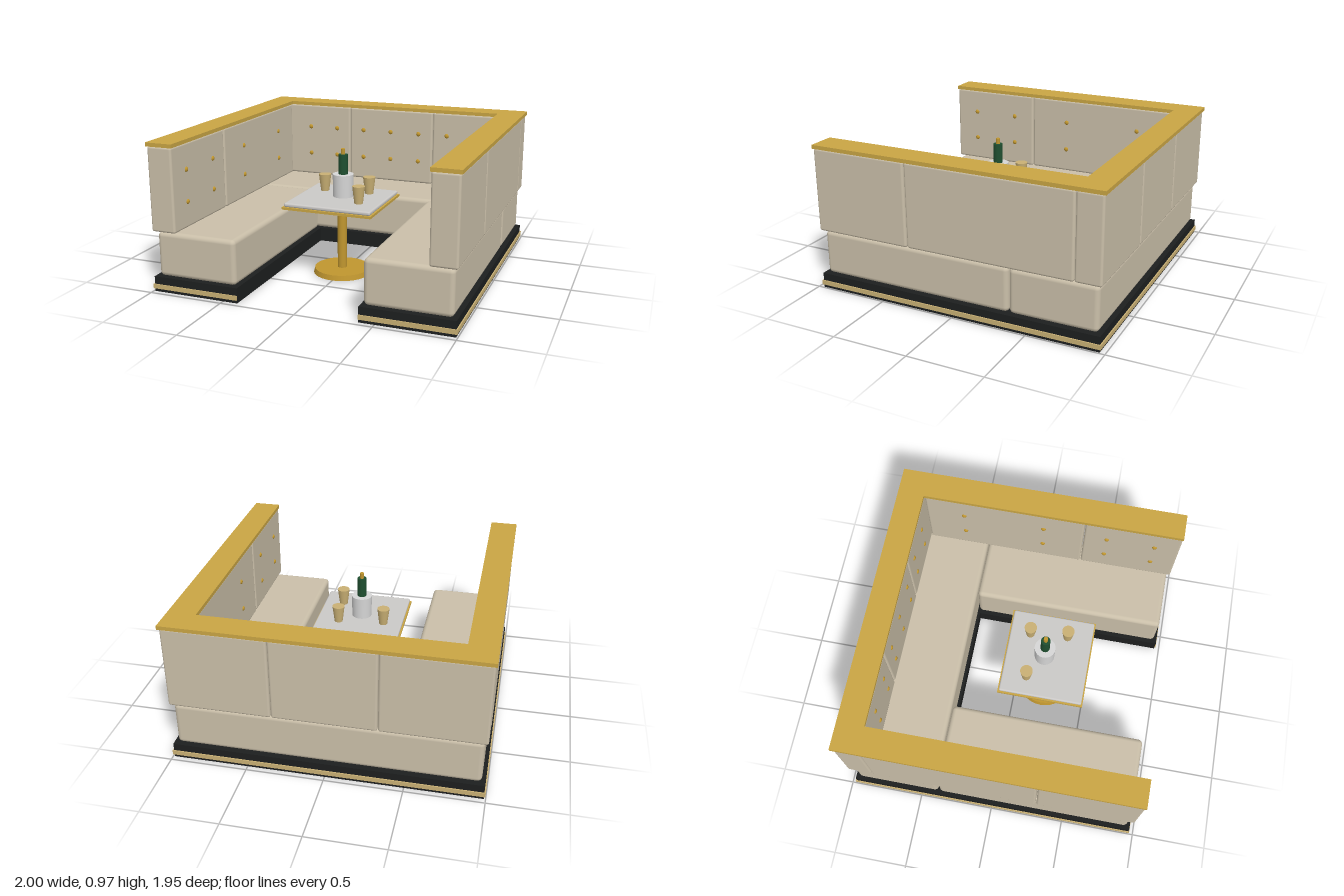
import * as THREE from 'three';
import { RoundedBoxGeometry } from 'three/addons/geometries/RoundedBoxGeometry.js';

const mat = (name, color) => {
  const m = new THREE.MeshStandardMaterial({ color });
  m.name = name;
  return m;
};

export function createModel() {
  const root = new THREE.Group();
  root.name = 'boothWithTable';
  const cream = mat('cream upholstery', 0xcabfa9);
  const black = mat('black plinth', 0x1d1f1f);
  const brass = mat('brass rail', 0xc9a544);
  const gold = mat('dark gold', 0xc0962f);
  const champagne = mat('champagne', 0xc9b074);
  const marble = mat('pale marble', 0xcbc9c7);
  const silver = mat('silver', 0xd6d6d6);
  const green = mat('bottle green', 0x1f4f30);

  const add = (name, geo, m, x, y, z) => {
    const mesh = new THREE.Mesh(geo, m);
    mesh.name = name;
    mesh.position.set(x, y, z);
    root.add(mesh);
    return mesh;
  };
  // Box given by its limits on each axis; r > 0 rounds the edges
  const box = (name, m, [x0, x1], [y0, y1], [z0, z1], r = 0) => {
    const s = [x1 - x0, y1 - y0, z1 - z0];
    const geo = r ? new RoundedBoxGeometry(...s, 3, r) : new THREE.BoxGeometry(...s);
    return add(name, geo, m, (x0 + x1) / 2, (y0 + y1) / 2, (z0 + z1) / 2);
  };
  // Same box on the left (+x) and right (-x)
  const pair = (name, m, [x0, x1], y, z, r) => {
    box(name + 'Left', m, [x0, x1], y, z, r);
    box(name + 'Right', m, [-x1, -x0], y, z, r);
  };
  const round = (name, m, rTop, rBottom, y0, y1, x, z) =>
    add(name, new THREE.CylinderGeometry(rTop, rBottom, y1 - y0, 32), m, x, (y0 + y1) / 2, z);

  // Plinth with a trim strip around its outside
  box('plinthBack', black, [-0.99, 0.99], [0, 0.1], [-0.965, -0.36]);
  pair('plinth', black, [0.4, 0.99], [0, 0.1], [-0.36, 0.965]);
  const trimY = [0.02, 0.05];
  box('trimBack', champagne, [-0.998, 0.998], trimY, [-0.973, -0.963]);
  pair('trimSide', champagne, [0.988, 0.998], trimY, [-0.963, 0.963]);
  pair('trimFront', champagne, [0.4, 0.998], trimY, [0.963, 0.972]);

  // Seat cushions
  const seatY = [0.1, 0.395];
  box('seatBack', cream, [-0.967, 0.967], seatY, [-0.943, -0.376], 0.03);
  pair('seatSide', cream, [0.42, 0.967], seatY, [-0.37, 0.943], 0.03);

  // Backrest panels
  const panelY = [0.4, 0.95];
  for (let i = -1; i <= 1; i++) {
    box('backPanel', cream, [i * 0.66 - 0.328, i * 0.66 + 0.328], panelY, [-0.965, -0.798], 0.015);
  }
  pair('sidePanelRear', cream, [0.82, 0.99], panelY, [-0.795, 0.304], 0.015);
  pair('sidePanelFront', cream, [0.82, 0.99], panelY, [0.31, 0.965], 0.015);

  // Top rail
  const railY = [0.948, 0.973];
  box('railBack', brass, [-0.997, 0.997], railY, [-0.975, -0.798]);
  pair('railSide', brass, [0.815, 0.997], railY, [-0.798, 0.967]);

  // Upholstery buttons in two rows
  const buttonGeo = new THREE.SphereGeometry(0.017, 14, 10);
  for (const y of [0.57, 0.78]) {
    for (let i = -3; i <= 3; i++) {
      add('buttonBack', buttonGeo, gold, i * 0.22, y, -0.8).scale.z = 0.75;
    }
    for (const z of [-0.53, 0.027, 0.467, 0.797]) {
      for (const s of [-1, 1]) add('buttonSide', buttonGeo, gold, s * 0.822, y, z).scale.x = 0.75;
    }
  }

  // Pedestal table
  round('tableBase', gold, 0.185, 0.193, 0.004, 0.038, 0, 0.207);
  round('tablePost', gold, 0.031, 0.031, 0.038, 0.49, 0, 0.207);
  box('tableTrim', brass, [-0.306, 0.306], [0.488, 0.504], [-0.084, 0.498]);
  box('tableTop', marble, [-0.297, 0.297], [0.503, 0.53], [-0.075, 0.489], 0.011);

  // Bucket, bottle and glasses
  round('bucket', silver, 0.07, 0.067, 0.53, 0.682, 0, 0.187);
  round('bottle', green, 0.031, 0.031, 0.68, 0.815, 0, 0.187);
  round('bottleCap', gold, 0.014, 0.014, 0.815, 0.853, 0, 0.187);
  for (const [x, z] of [[-0.17, 0.092], [0.14, 0.065], [0.16, 0.32]]) {
    round('glass', champagne, 0.042, 0.028, 0.53, 0.645, x, z);
  }
  return root;
}
